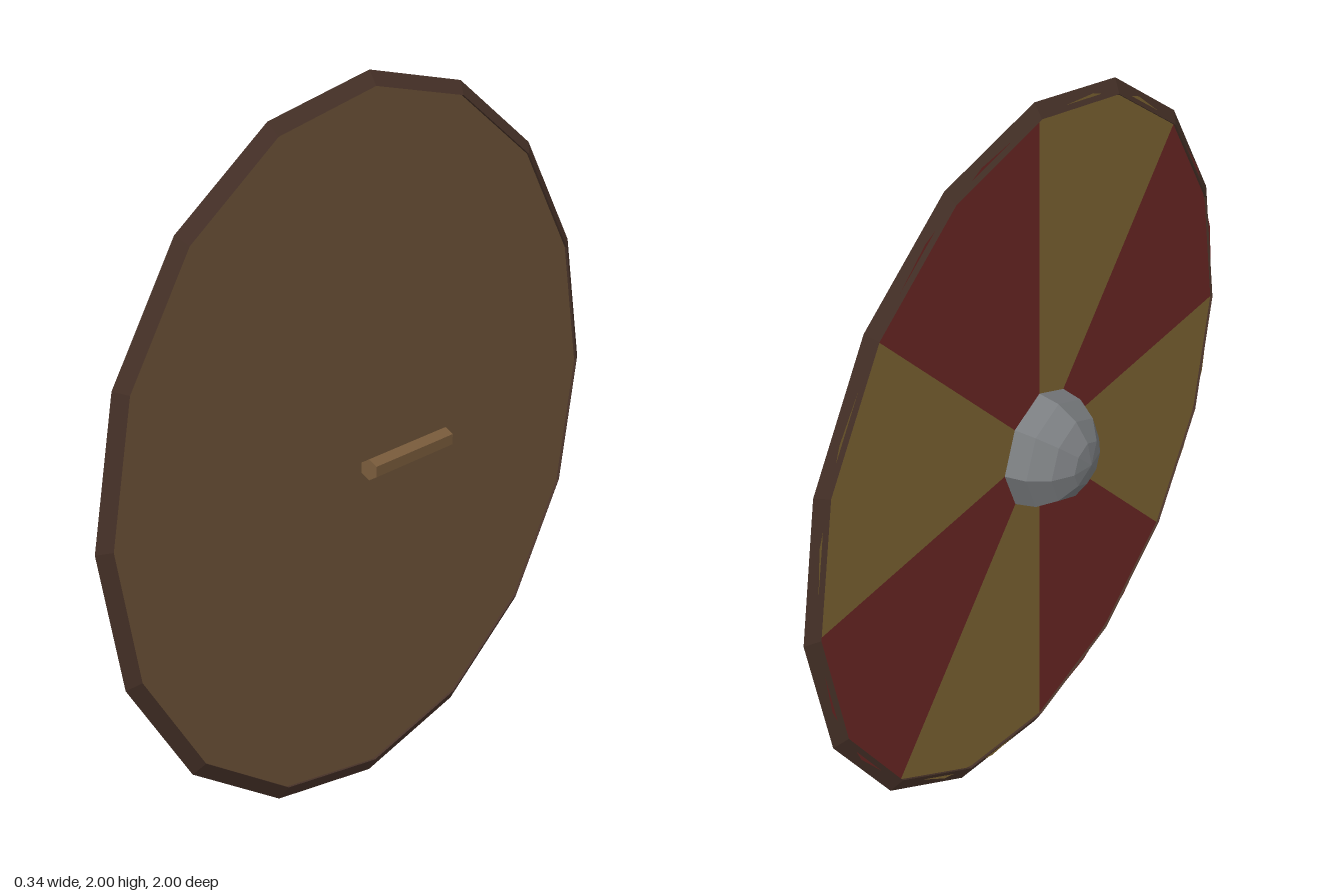
import * as THREE from 'three';

const SIDES = 16;
const CENTRE_X = 0.01; // middle plane of the board
const BOARD_HALF = 0.015; // half the board thickness
const BOARD_RADIUS = 0.966;

function part(name, geometry, color) {
  const mesh = new THREE.Mesh(
    geometry,
    new THREE.MeshStandardMaterial({ color, flatShading: true })
  );
  mesh.name = name;
  return mesh;
}

export function createModel() {
  const shield = new THREE.Group();
  shield.name = 'roundShield';
  shield.position.y = 1;

  // Rim: triangular section with its sharp edge pointing outwards
  const tube = 0.026;
  const rim = part('rim', new THREE.TorusGeometry(1 - tube, tube, 3, SIDES).rotateY(-Math.PI / 2), 0x4a342a);
  rim.position.x = CENTRE_X;
  shield.add(rim);

  // Wooden back of the board
  const back = part('boardBack', new THREE.CircleGeometry(BOARD_RADIUS, SIDES).rotateY(Math.PI / 2), 0x6e5438);
  back.position.x = CENTRE_X + BOARD_HALF;
  shield.add(back);

  // Painted face: eight wedges in two alternating colours
  const face = new THREE.Group();
  face.name = 'paintedFace';
  face.position.x = CENTRE_X - BOARD_HALF;
  for (let i = 0; i < 8; i++) {
    const wedge = new THREE.CircleGeometry(BOARD_RADIUS, 2, (i * Math.PI) / 4, Math.PI / 4);
    wedge.rotateY(-Math.PI / 2);
    face.add(part('wedge' + (i + 1), wedge, i % 2 ? 0x866b36 : 0x722a27));
  }
  shield.add(face);

  // Domed metal boss in the middle of the painted face
  const dome = new THREE.SphereGeometry(0.17, 8, 4, 0, Math.PI * 2, 0, Math.PI / 2);
  shield.add(part('boss', dome.rotateZ(Math.PI / 2), 0x7a7d80));

  // Hexagonal grip behind the board
  const grip = part('grip', new THREE.CylinderGeometry(0.029, 0.029, 0.325, 6).rotateX(Math.PI / 2), 0x7a5c3c);
  grip.position.x = 0.144;
  shield.add(grip);

  const model = new THREE.Group();
  model.name = 'shieldModel';
  model.add(shield);
  return model;
}
